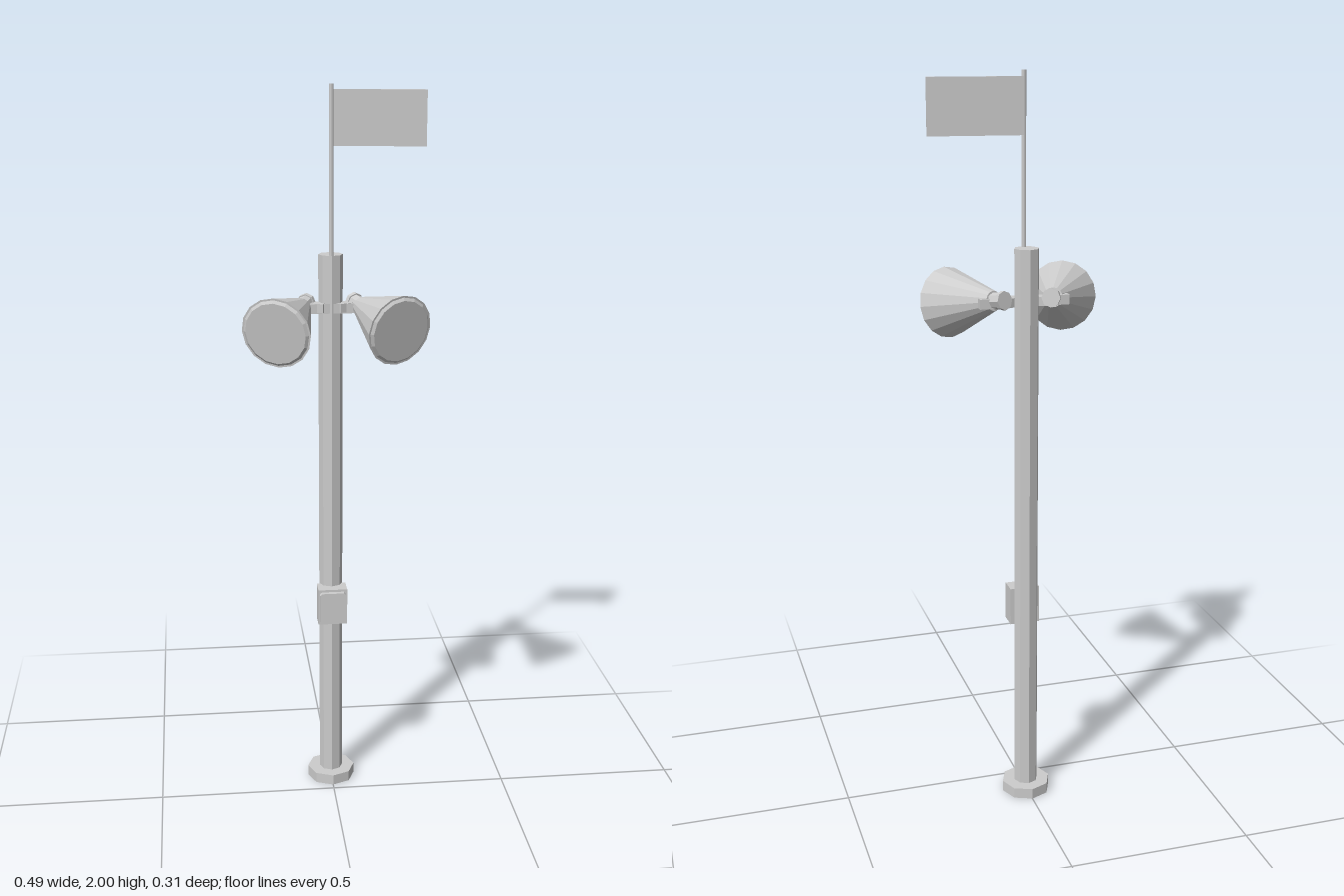
import * as THREE from 'three';

export function createModel() {
  const model = new THREE.Group();
  const grey = new THREE.MeshStandardMaterial({ color: 0xcccccc, flatShading: true });
  grey.name = 'light grey';
  const poleZ = -0.087;

  const add = (name, geometry, x, y, z, parent = model) => {
    const mesh = new THREE.Mesh(geometry, grey);
    mesh.name = name;
    mesh.position.set(x, y, z);
    parent.add(mesh);
    return mesh;
  };

  // Octagonal foot and post
  add('base', new THREE.CylinderGeometry(0.068, 0.068, 0.03, 8), 0, 0.015, poleZ);
  add('pole', new THREE.CylinderGeometry(0.033, 0.033, 1.55, 8), 0, 0.785, poleZ);

  // Mast and slightly turned flag
  add('mast', new THREE.CylinderGeometry(0.006, 0.006, 0.46, 8), 0, 1.77, -0.062);
  const flag = add('flag', new THREE.BoxGeometry(0.244, 0.143, 0.004), 0.126, 1.914, -0.0625);
  flag.rotation.y = -Math.atan2(0.034, 0.242);

  // Control box with bevelled front cover
  add('controlBox', new THREE.BoxGeometry(0.082, 0.105, 0.05), 0, 0.565, -0.053);
  const cover = new THREE.Shape();
  const w = 0.037, h = 0.046, b = 0.006;
  [[-w + b, -h], [w - b, -h], [w, -h + b], [w, h - b], [w - b, h], [-w + b, h], [-w, h - b], [-w, -h + b]]
    .forEach(([x, y], i) => (i ? cover.lineTo(x, y) : cover.moveTo(x, y)));
  add('controlCover', new THREE.ExtrudeGeometry(cover, { depth: 0.015, bevelEnabled: false }), 0, 0.565, -0.03);

  // Crossbar carrying the lamps
  add('crossbar', new THREE.BoxGeometry(0.242, 0.026, 0.02), 0, 1.418, -0.066);

  // Pair of floodlights, splayed outward and tipped down; local +y is the beam
  for (const side of [1, -1]) {
    const lamp = new THREE.Group();
    lamp.name = side > 0 ? 'leftLamp' : 'rightLamp';
    const back = new THREE.Vector3(side * 0.08, 1.423, -0.062);
    const front = new THREE.Vector3(side * 0.16, 1.391, 0.108);
    const length = back.distanceTo(front);
    // Turn about y first, then pitch, so both lamps stay level
    const dir = front.clone().sub(back);
    lamp.rotation.order = 'YXZ';
    lamp.rotation.y = Math.atan2(dir.x, dir.z);
    lamp.rotation.x = Math.PI / 2 + Math.asin(-dir.y / length);
    lamp.position.copy(back);
    model.add(lamp);

    add('lampShade', new THREE.CylinderGeometry(0.095, 0.026, length, 16), 0, length / 2, 0, lamp);
    add('lampLens', new THREE.CylinderGeometry(0.083, 0.09, 0.006, 16), 0, length + 0.003, 0, lamp);
    add('lampNeck', new THREE.CylinderGeometry(0.022, 0.022, 0.08, 8), 0, 0, 0, lamp);
    add('lampCollar', new THREE.CylinderGeometry(0.025, 0.025, 0.012, 8), 0, -0.037, 0, lamp);

    // Short arm joining the neck to the post
    const arm = add('lampArm', new THREE.BoxGeometry(0.06, 0.024, 0.03), side * 0.045, 1.42, -0.075);
    arm.rotation.y = side * 0.44;
  }
  return model;
}
